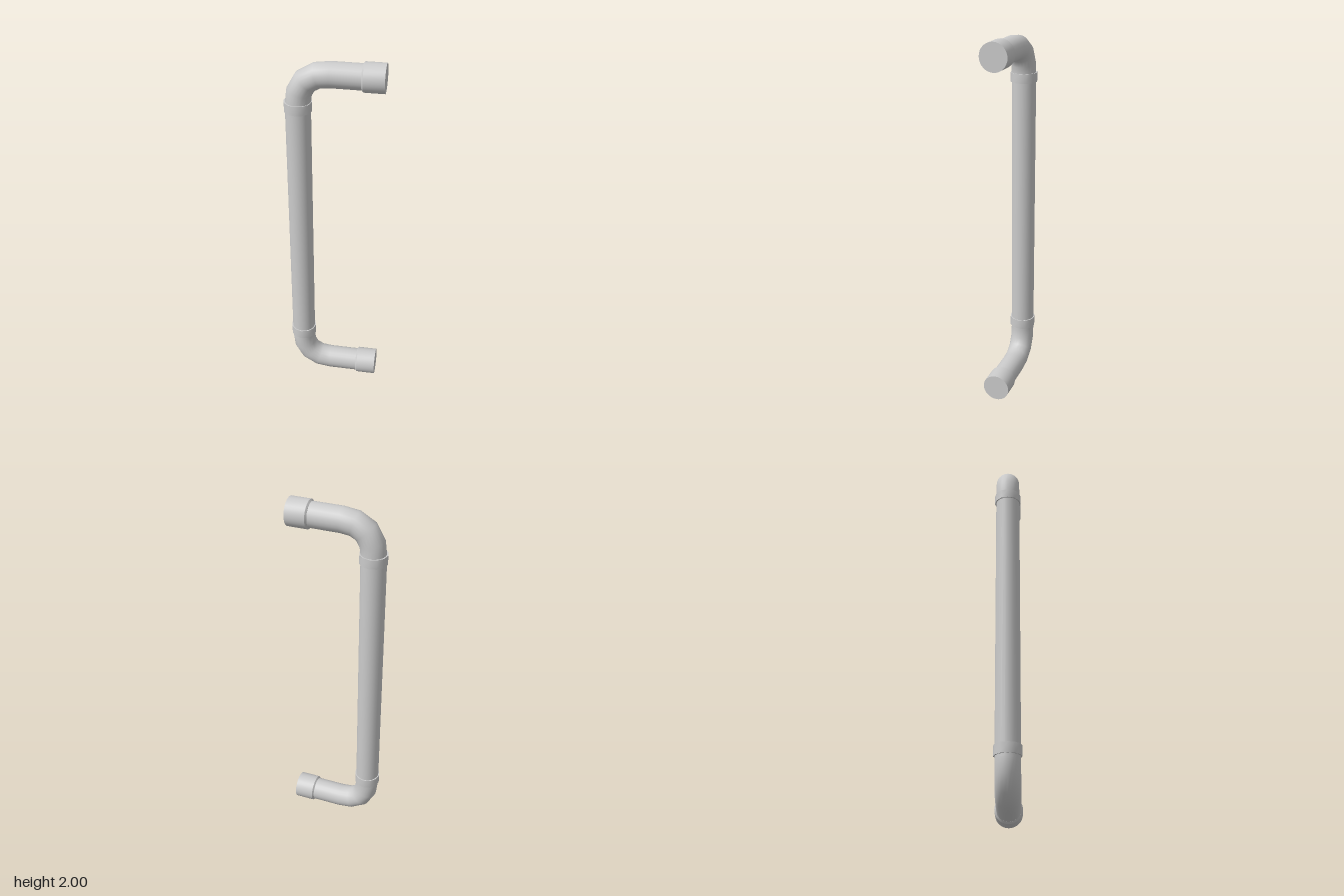
import * as THREE from 'three';
import { toCreasedNormals } from 'three/addons/utils/BufferGeometryUtils.js';

const material = new THREE.MeshStandardMaterial({ color: 0xcccccc });
const SIDES = 24, R = 0.065;
const BAR_X = -0.183, TIP_X = 0.252;

function add(parent, name, geometry, x = 0, y = 0) {
  const mesh = new THREE.Mesh(geometry, material);
  mesh.name = name;
  mesh.position.set(x, y, 0);
  parent.add(mesh);
  return mesh;
}

// One end of the handle: collar, elbow, arm and mounting cap
function makeEnd(name, armY, bendY, collarY, collarHeight) {
  const end = new THREE.Group();
  end.name = name;
  const bendX = -0.02, capX = 0.138;

  add(end, 'collar', toCreasedNormals(
    new THREE.CylinderGeometry(0.072, 0.072, collarHeight, 12), 0.7), BAR_X, collarY);

  // Elbow with a few coarse steps along the curve
  const curve = new THREE.QuadraticBezierCurve3(
    new THREE.Vector3(BAR_X, bendY, 0),
    new THREE.Vector3(BAR_X, armY, 0),
    new THREE.Vector3(bendX, armY, 0));
  add(end, 'elbow', new THREE.TubeGeometry(curve, 4, R, SIDES));

  const arm = new THREE.CylinderGeometry(R, R, capX - bendX + 0.01, SIDES, 1, true);
  arm.rotateZ(Math.PI / 2);
  add(end, 'arm', arm, (capX + bendX + 0.01) / 2, armY);

  // Mounting cap with a small bevel where it meets the arm
  const profile = [[0, capX], [R, capX], [0.074, capX + 0.008], [0.074, TIP_X], [0, TIP_X]]
    .map(([r, h]) => new THREE.Vector2(r, h));
  const cap = toCreasedNormals(new THREE.LatheGeometry(profile, 32), 0.6);
  cap.rotateZ(-Math.PI / 2);
  add(end, 'mountingCap', cap, 0, armY);
  return end;
}

export function createModel() {
  const model = new THREE.Group();
  model.name = 'pullHandle';
  const top = 1.76, bottom = 0.245;

  add(model, 'gripBar',
    new THREE.CylinderGeometry(R, R, top - bottom, SIDES, 1, true), BAR_X, (top + bottom) / 2);
  model.add(makeEnd('upperEnd', 1.926, top, 1.75, 0.05));
  model.add(makeEnd('lowerEnd', 0.074, bottom, 0.287, 0.055));
  return model;
}
